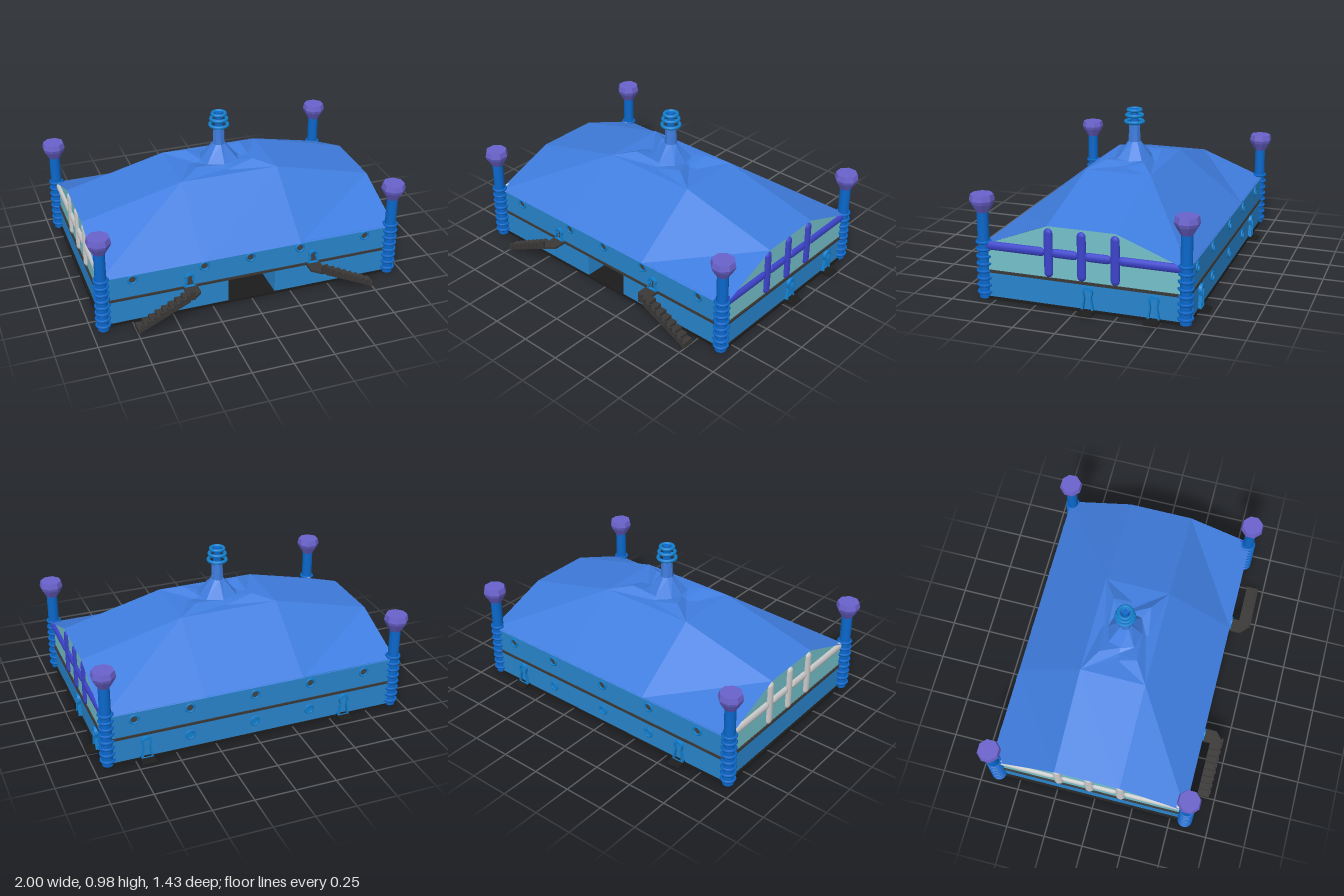
import * as THREE from 'three';

const mat = (color, extra = {}) => new THREE.MeshStandardMaterial({ color, flatShading: true, ...extra });
const smooth = (color) => new THREE.MeshStandardMaterial({ color });

const ZF = 0.575, ZB = -0.655, XW = 0.92, ZMID = -0.035;

export function createModel() {
  const model = new THREE.Group();
  const M = {
    wall: mat(0x2884cc), inner: mat(0x2884cc, { side: THREE.BackSide }),
    roof: mat(0x3f7ddf, { side: THREE.DoubleSide }), teal: mat(0x74c0cb),
    post: smooth(0x0a68cc), ring: smooth(0x1280d0), bar: smooth(0x3c44cc), grey: smooth(0xcccccc),
    knob: mat(0x6a62cc), dark: mat(0x3a3836), black: mat(0x1c1c1c),
  };
  const add = (name, geo, material, x = 0, y = 0, z = 0, parent = model) => {
    const m = new THREE.Mesh(geo, material);
    m.name = name;
    m.position.set(x, y, z);
    parent.add(m);
    return m;
  };
  const box = (name, material, x0, x1, y0, y1, z0, z1) =>
    add(name, new THREE.BoxGeometry(x1 - x0, y1 - y0, z1 - z0), material, (x0 + x1) / 2, (y0 + y1) / 2, (z0 + z1) / 2);
  const poly = (pts) => new THREE.Shape(pts.map((p) => new THREE.Vector2(...p)));
  const circleHole = (x, y, r) => new THREE.Path().absarc(x, y, r, 0, Math.PI * 2, true);

  // Quad mesh from rows of points
  const loft = (rows, closed) => {
    const n = rows[0].length, idx = [];
    for (let i = 0; i < rows.length - 1; i++)
      for (let j = 0; j < (closed ? n : n - 1); j++) {
        const a = i * n + j, b = i * n + (j + 1) % n;
        idx.push(a, b, b + n, a, b + n, a + n);
      }
    const g = new THREE.BufferGeometry();
    g.setAttribute('position', new THREE.Float32BufferAttribute(rows.flat(2), 3));
    g.setIndex(idx);
    const out = g.toNonIndexed();
    out.computeVertexNormals();
    return out;
  };

  // Base slab and the floor between the storeys
  box('baseSlab', M.black, -0.935, 0.93, 0, 0.015, ZB - 0.005, ZF + 0.005);
  box('upperFloor', M.dark, -0.93, 0.93, 0.165, 0.18, ZB - 0.007, ZF + 0.007);

  // Doorway outline, wide at the foot with a round head
  const doorPath = (P, x, y, w, h) => {
    const r = w * 0.42;
    P.moveTo(x - w / 2, y);
    P.lineTo(x + w / 2, y);
    P.lineTo(x + r * 0.75, y + h * 0.55);
    P.absarc(x, y + h - r, r, -0.4, Math.PI + 0.4, false);
    P.lineTo(x - r * 0.75, y + h * 0.55);
    P.closePath();
    return P;
  };
  const doorFrame = (w, h) => {
    const s = doorPath(new THREE.Shape(), 0, 0, w, h);
    s.holes.push(doorPath(new THREE.Path(), 0, 0.002, w * 0.68, h * 0.86));
    return new THREE.ExtrudeGeometry(s, { depth: 0.02, bevelEnabled: false, curveSegments: 8 });
  };

  // Front wall with gateway, portholes and two upper doors
  const frontHoles = [-0.74, -0.3, -0.01, 0.31, 0.74];
  const backHoles = [-0.72, -0.36, 0, 0.41, 0.75];
  const front = poly([[-XW, 0.015], [-0.15, 0.015], [-0.15, 0.165], [0.15, 0.165], [0.15, 0.015],
    [XW, 0.015], [XW, 0.335], [-XW, 0.335]]);
  frontHoles.forEach((x) => front.holes.push(circleHole(x, 0.295, 0.024)));
  [-0.39, 0.4].forEach((x) => front.holes.push(doorPath(new THREE.Path(), x, 0.182, 0.045, 0.07)));
  add('frontWall', new THREE.ShapeGeometry(front), M.wall, 0, 0, ZF);
  box('gatewayHall', M.inner, -0.15, 0.15, 0.01, 0.17, ZF - 0.55, ZF);

  // Back wall with two rows of portholes
  const back = poly([[-XW, 0.015], [XW, 0.015], [XW, 0.335], [-XW, 0.335]]);
  backHoles.forEach((x) => back.holes.push(circleHole(-x, 0.285, 0.024)));
  add('backWall', new THREE.ShapeGeometry(back), M.wall, 0, 0, ZB).rotation.y = Math.PI;

  const ringGeo = new THREE.TorusGeometry(0.026, 0.007, 6, 16);
  frontHoles.forEach((x) => add('frontPorthole', ringGeo, M.ring, x, 0.295, ZF));
  backHoles.forEach((x, i) => {
    add('backPorthole', ringGeo, M.ring, x, 0.285, ZB - 0.004);
    if (i > 0 && i < 4) {
      add('lowerPorthole', ringGeo, M.ring, x, 0.1, ZB - 0.004);
      add('lowerPane', new THREE.CircleGeometry(0.024, 16), M.ring, x, 0.1, ZB - 0.003).rotation.y = Math.PI;
    }
  });

  // End walls, glazed gables and their crossed bars
  for (const s of [1, -1]) {
    const end = new THREE.Group();
    end.name = s > 0 ? 'leftEnd' : 'rightEnd';
    end.position.x = s * XW;
    end.rotation.y = s * Math.PI / 2;
    model.add(end);
    const u = (z) => -s * z;
    const order = (pts) => poly(pts.map(([z, y]) => [u(z), y]));
    add('endWall', new THREE.ShapeGeometry(order([[ZF, 0.015], [ZB, 0.015], [ZB, 0.18], [ZF, 0.18]])), M.wall, 0, 0, 0, end);
    add('gableGlass', new THREE.ShapeGeometry(order([[ZF, 0.18], [ZB, 0.18], [ZB, 0.33], [-0.24, 0.488], [0.17, 0.488], [ZF, 0.33]])), M.teal, 0, 0, 0, end);
    const barMat = s > 0 ? M.bar : M.grey;
    const rod = (name, len, z, y, flat) => {
      const m = add(name, new THREE.CapsuleGeometry(0.027, len - 0.03, 3, 12), barMat, u(z), y, 0, end);
      m.scale.z = 0.7;
      if (flat) m.rotation.z = Math.PI / 2;
    };
    [0.168, -0.032, -0.232].forEach((z) => rod('uprightBar', 0.27, z, 0.328, false));
    [[0.55, 0.2], [0.14, 0], [-0.06, -0.2], [-0.26, -0.61]].forEach(([a, b]) =>
      rod('crossBar', a - b, (a + b) / 2, 0.33, true));
  }

  // Faceted roof: flat crown falling to the eaves and the gables
  const xs = [-0.935, -0.31, 0.31, 0.935];
  const roofRow = (z, yEnd, yMid) => xs.map((x, i) => [x, i % 3 ? yMid : yEnd, z]);
  add('roof', loft([roofRow(0.585, 0.33, 0.33), roofRow(0.17, 0.492, 0.65),
    roofRow(-0.24, 0.492, 0.65), roofRow(-0.66, 0.33, 0.33)]), M.roof);

  // Spire foot: four ridges sweep from the crown's corners into a shaft
  const star = (dx, dz, dy, ax, az, ay) => {
    const out = [];
    for (let k = 0; k < 8; k++) {
      const c = Math.sign(Math.round(Math.cos(k * Math.PI / 4) * 10));
      const n = Math.sign(Math.round(Math.sin(k * Math.PI / 4) * 10));
      out.push(k % 2 ? [c * dx, dy, -n * dz] : [c * ax, ay, -n * az]);
    }
    return out;
  };
  add('spireFoot', loft([
    star(0.31, 0.205, 0.65, 0.2, 0.15, 0.648),
    star(0.18, 0.12, 0.687, 0.15, 0.13, 0.652),
    star(0.1, 0.08, 0.672, 0.12, 0.11, 0.668),
    star(0.028, 0.028, 0.77, 0.04, 0.04, 0.77),
    star(0.024, 0.024, 0.875, 0.035, 0.035, 0.875)], true), M.roof, 0, 0, ZMID);
  add('spireRod', new THREE.CylinderGeometry(0.02, 0.028, 0.11, 12), M.post, 0, 0.92, ZMID);
  [[0.895, 0.055], [0.935, 0.049], [0.968, 0.04]].forEach(([y, r]) =>
    add('spireRing', new THREE.TorusGeometry(r, 0.011, 8, 28), M.ring, 0, y, ZMID).rotation.x = Math.PI / 2);

  // Corner towers with hoops and faceted finials
  const knobGeo = new THREE.LatheGeometry([[0.034, 0.525], [0.067, 0.58], [0.074, 0.6], [0.066, 0.635], [0, 0.635]]
    .map((p) => new THREE.Vector2(...p)), 8);
  knobGeo.rotateY(Math.PI / 8);
  for (const x of [-0.93, 0.912])
    for (const z of [-0.64, x < 0 ? 0.595 : 0.575]) {
      const tower = new THREE.Group();
      tower.name = 'cornerTower';
      tower.position.set(x, 0, z);
      model.add(tower);
      add('towerShaft', new THREE.CylinderGeometry(0.034, 0.034, 0.53, 16), M.post, 0, 0.27, 0, tower);
      for (let i = 0; i < 8; i++)
        add('towerHoop', new THREE.TorusGeometry(0.039, 0.009, 6, 18), M.post, 0, 0.04 + i * 0.044, 0, tower).rotation.x = Math.PI / 2;
      add('finial', knobGeo, M.knob, 0, 0, 0, tower);
    }

  // Ground doors with sloping mats
  const matShape = poly([[0, 0], [0.065, 0], [0.065, 0.004], [0, 0.02]]);
  const matGeo = new THREE.ExtrudeGeometry(matShape, { depth: 0.085, bevelEnabled: false });
  matGeo.translate(0, 0, -0.0425);
  matGeo.rotateY(-Math.PI / 2);
  [[XW + 0.012, -0.07, 1], [XW + 0.012, -0.46, 1], [0.68, ZB, 2], [-0.59, ZB, 2]].forEach(([x, z, q]) => {
    const door = new THREE.Group();
    door.name = 'groundDoor';
    door.position.set(x, 0, z);
    door.rotation.y = q * Math.PI / 2;
    model.add(door);
    add('doorFrame', doorFrame(0.075, 0.14), M.ring, 0, 0.016, q === 1 ? -0.01 : 0, door);
    add('doorMat', matGeo, M.black, 0, 0.001, 0, door);
  });

  // Upper doors, landings and outside stairs
  for (const s of [-1, 1]) {
    const span = (name, m, a, b, ...rest) => box(name, m, Math.min(s * a, s * b), Math.max(s * a, s * b), ...rest);
    add('upperDoorFrame', doorFrame(0.07, 0.085), M.ring, s * 0.395, 0.18, ZF - 0.002);
    const landing = new THREE.ExtrudeGeometry(
      poly([[s * 0.35, -ZF], [s * 0.435, -ZF], [s * 0.435, -0.705], [s * 0.4, -0.705], [s * 0.35, -0.66]]),
      { depth: 0.015, bevelEnabled: false });
    landing.rotateX(-Math.PI / 2);
    add('landing', landing, M.dark, 0, 0.165, 0);
    const steps = 8, run = 0.32 / steps, rise = 0.165 / steps, pts = [[s * 0.75, 0.002], [s * 0.43, 0.155]];
    for (let i = 0; i < steps; i++) {
      const x = 0.43 + i * run, y = 0.18 - i * rise;
      pts.push([s * x, y], [s * (x + run), y]);
      span('railPost', M.dark, x, x + run * 0.55, y - 0.01, y + 0.025, 0.703, 0.715);
    }
    add('stairs', new THREE.ExtrudeGeometry(poly(pts), { depth: 0.075, bevelEnabled: false }), M.dark, 0, 0, 0.635);
    span('landingRail', M.dark, 0.4, 0.43, 0.17, 0.225, 0.703, 0.715);
  }
  return model;
}
